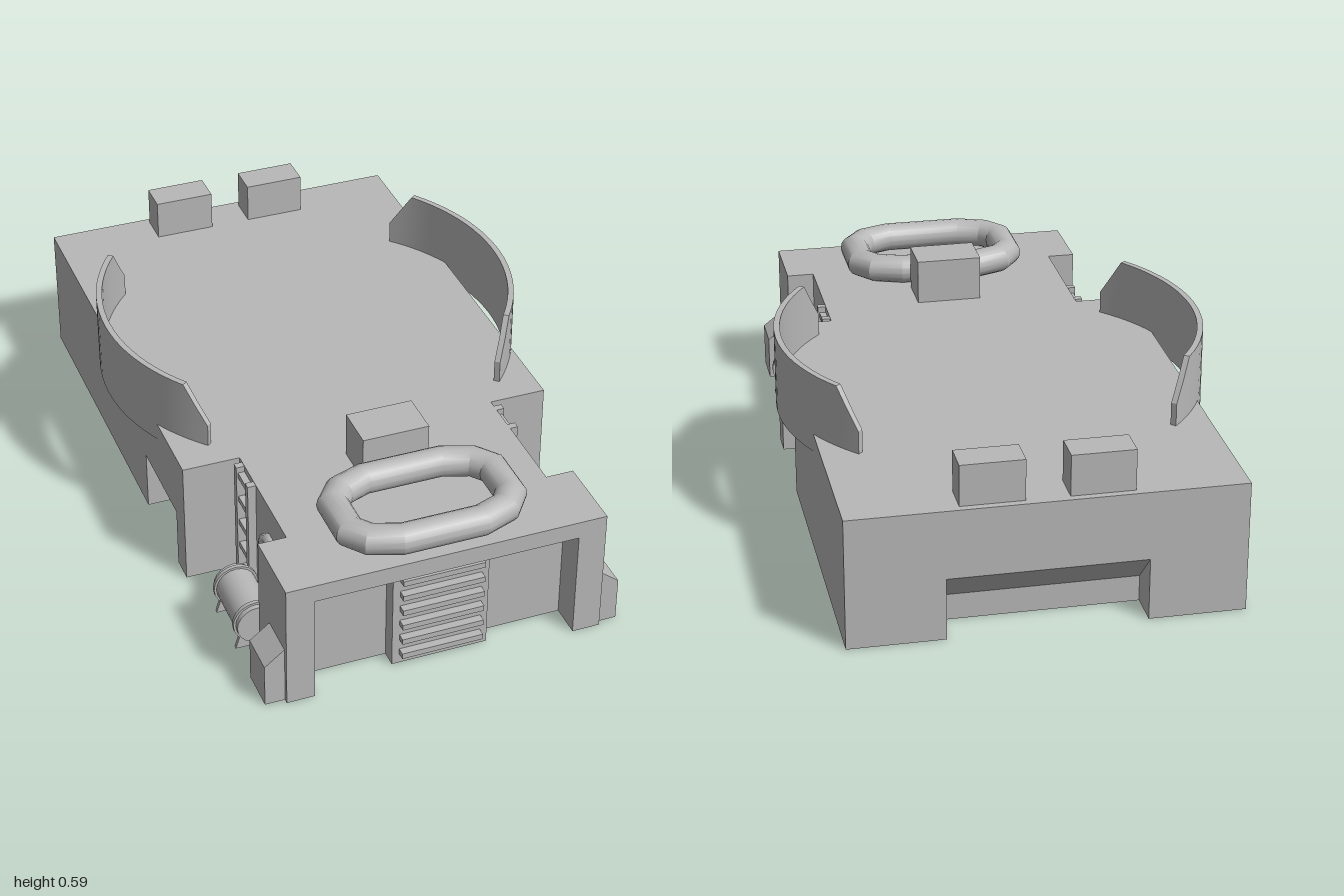
import * as THREE from 'three';
import { toCreasedNormals } from 'three/addons/utils/BufferGeometryUtils.js';

const grey = new THREE.MeshStandardMaterial({ color: 0xb8b8b8, side: THREE.DoubleSide });
grey.name = 'plain grey';
const DECK = 0.4;

function add(parent, name, geometry, x = 0, y = 0, z = 0) {
  const mesh = new THREE.Mesh(geometry, grey);
  mesh.name = name;
  mesh.position.set(x, y, z);
  parent.add(mesh);
  return mesh;
}

// Box given by its limits on each axis
function box(parent, name, x0, x1, y0, y1, z0, z1) {
  return add(parent, name, new THREE.BoxGeometry(x1 - x0, y1 - y0, z1 - z0),
    (x0 + x1) / 2, (y0 + y1) / 2, (z0 + z1) / 2);
}

// Flat-sided sheet from a list of four-cornered faces
function quads(faces) {
  const pos = [];
  for (const [a, b, c, d] of faces) pos.push(...a, ...b, ...c, ...a, ...c, ...d);
  const g = new THREE.BufferGeometry();
  g.setAttribute('position', new THREE.Float32BufferAttribute(pos, 3));
  g.computeVertexNormals();
  return g;
}

// Cross-section in x and y, extruded from z0 to z1
function prism(points, z0, z1) {
  const shape = new THREE.Shape(points.map(p => new THREE.Vector2(...p)));
  return new THREE.ExtrudeGeometry(shape, { depth: z1 - z0, bevelEnabled: false }).translate(0, 0, z0);
}

// Wall sheet from p to q, optionally with a recess cut up from its lower edge
function wall(parent, name, p, q, cut) {
  const dx = q[0] - p[0], dz = q[1] - p[1], len = Math.hypot(dx, dz);
  const group = new THREE.Group();
  group.name = name;
  group.position.set(p[0], 0, p[1]);
  group.rotation.y = Math.atan2(-dz, dx);
  parent.add(group);
  const pts = [[0, 0]];
  if (cut) {
    const { a, b, h, inner, depth } = cut;
    pts.push([a, 0], [a, h], [b, h], [b, 0]);
    add(group, name + 'Recess', quads([
      [[a, h, 0], [a, inner, -depth], [b, inner, -depth], [b, h, 0]],
      [[a, 0, -depth], [b, 0, -depth], [b, inner, -depth], [a, inner, -depth]],
      [[a, 0, 0], [a, 0, -depth], [a, inner, -depth], [a, h, 0]],
      [[b, 0, 0], [b, h, 0], [b, inner, -depth], [b, 0, -depth]],
    ]));
  }
  pts.push([len, 0], [len, DECK], [0, DECK]);
  add(group, name + 'Panel', new THREE.ShapeGeometry(new THREE.Shape(pts.map(v => new THREE.Vector2(...v)))));
}

// Hull: deck and outer walls, open underneath
function buildHull() {
  const hull = new THREE.Group();
  hull.name = 'hull';
  const half = [[0.485, 1], [0.485, 0.77], [0.4, 0.77], [0.4, 0.37], [0.575, 0.37], [0.575, -1]];
  const plan = [...half, ...half.map(([x, z]) => [-x, z]).reverse()];
  const port = { h: 0.19, inner: 0.08, depth: 0.11 };
  const cuts = {
    4: { a: 0.08, b: 0.38, ...port },
    5: { a: 0.285, b: 0.865, ...port },
    6: { a: 0.99, b: 1.29, ...port },
    11: { a: 0.085, b: 0.885, h: 0.345, inner: 0.345, depth: 0.1 },
  };
  plan.forEach((p, i) => wall(hull, 'wall' + (i + 1), p, plan[(i + 1) % plan.length], cuts[i]));
  const outline = new THREE.Shape(plan.map(([x, z]) => new THREE.Vector2(x, -z)));
  add(hull, 'deck', new THREE.ShapeGeometry(outline).rotateX(-Math.PI / 2), 0, DECK, 0);
  return hull;
}

// Padded oval ring: mitred straight tubes around a closed outline
function ovalRing() {
  const quarter = [[0.12, 0.148], [0.205, 0.117], [0.245, 0.065]];
  const back = quarter.map(([x, z]) => [x, -z]).reverse();
  const right = [...quarter, ...back];
  const path = [...right, ...right.map(([x, z]) => [-x, -z])].map(p => new THREE.Vector2(...p));
  const n = path.length, sides = 16, r = 0.045;
  const rings = path.map((p, i) => {
    const d0 = p.clone().sub(path[(i + n - 1) % n]).normalize();
    const d1 = path[(i + 1) % n].clone().sub(p).normalize();
    const t = d0.clone().add(d1).normalize();
    const out = new THREE.Vector2(-t.y, t.x).multiplyScalar(1 / t.dot(d0));
    return Array.from({ length: sides }, (_, j) => {
      const a = j / sides * Math.PI * 2, c = Math.cos(a) * r;
      return [p.x + out.x * c, Math.sin(a) * r, p.y + out.y * c];
    });
  });
  const faces = [];
  for (let i = 0; i < n; i++) {
    for (let j = 0; j < sides; j++) {
      const k = (j + 1) % sides, m = (i + 1) % n;
      faces.push([rings[i][j], rings[i][k], rings[m][k], rings[m][j]]);
    }
  }
  return toCreasedNormals(quads(faces), 0.45);
}

// Curved shield: a box bent round an arc, with its upper ends cut off
function shieldGeometry() {
  const g = new THREE.BoxGeometry(1, 1, 1, 1, 1, 24);
  const pos = g.attributes.position, end = 0.757, shoulder = end * 10 / 12;
  for (let i = 0; i < pos.count; i++) {
    const a = pos.getZ(i) * 2 * end;
    const radius = pos.getX(i) > 0 ? 0.642 : 0.624;
    const drop = Math.max(0, (Math.abs(a) - shoulder) / (end - shoulder)) * 0.12;
    const y = pos.getY(i) > 0 ? 0.59 - drop : 0.345;
    pos.setXYZ(i, Math.cos(a) * radius, y, Math.sin(a) * radius);
  }
  return toCreasedNormals(g, 0.4);
}

// Fittings of the +x side; the other side is mirrored by a half turn of the x values
function buildSide(s) {
  const side = new THREE.Group();
  side.name = s > 0 ? 'leftFittings' : 'rightFittings';
  const sbox = (name, x0, x1, ...rest) =>
    box(side, name, Math.min(s * x0, s * x1), Math.max(s * x0, s * x1), ...rest);

  const shield = add(side, 'curvedShield', shieldGeometry(), 0, 0, -0.16);
  if (s < 0) shield.rotation.y = Math.PI;

  // Wedge-topped block at the front corner
  const wedge = [[0.48, 0], [0.545, 0], [0.545, 0.137], [0.48, 0.188]].map(([x, y]) => [s * x, y]);
  add(side, 'cornerBlock', prism(wedge, 0.86, 0.985));

  // Ladder
  for (const z of [0.39, 0.49]) sbox('ladderRail', 0.395, 0.425, 0.005, DECK - 0.002, z, z + 0.022);
  for (let i = 0; i < 5; i++) {
    const y = 0.03 + i * 0.085;
    sbox('ladderRung', 0.4, 0.42, y - 0.009, y + 0.009, 0.4, 0.5);
  }

  // Ring on the recessed wall
  const ring = add(side, 'wallRing', new THREE.TorusGeometry(0.059, 0.017, 8, 10), s * 0.406, 0.235, 0.645);
  ring.rotation.y = Math.PI / 2;

  // Lying drum with end bands and feet
  const drum = (name, r, z0, z1) => add(side, name,
    toCreasedNormals(new THREE.CylinderGeometry(r, r, z1 - z0, 20).rotateX(Math.PI / 2), 0.6),
    s * 0.483, 0.09, (z0 + z1) / 2);
  drum('drum', 0.061, 0.535, 0.75);
  for (const z of [0.55, 0.722]) {
    drum('drumBand', 0.068, z, z + 0.012);
    const foot = [[-0.062, 0.005], [0.062, 0.005], [0.04, 0.075], [-0.04, 0.075]];
    add(side, 'drumFoot', prism(foot, z, z + 0.012), s * 0.483, 0, 0);
  }

  // Rear deck block
  sbox('rearDeckBlock', 0.063, 0.25, DECK, 0.525, -0.978, -0.88);
  return side;
}

export function createModel() {
  const model = new THREE.Group();
  model.name = 'vehicleHull';
  model.add(buildHull(), buildSide(1), buildSide(-1));

  // Front grille
  box(model, 'grillePanel', -0.147, 0.147, 0, 0.344, 0.9, 0.95);
  for (let i = 0; i < 6; i++) {
    const y = 0.042 + i * 0.053;
    box(model, 'grilleSlat', -0.125, 0.125, y - 0.009, y + 0.009, 0.945, 0.975);
  }

  // Deck fittings
  box(model, 'frontDeckBlock', -0.102, 0.102, DECK, 0.54, 0.46, 0.597);
  add(model, 'ovalRing', ovalRing(), 0, DECK + 0.045, 0.795);
  return model;
}
